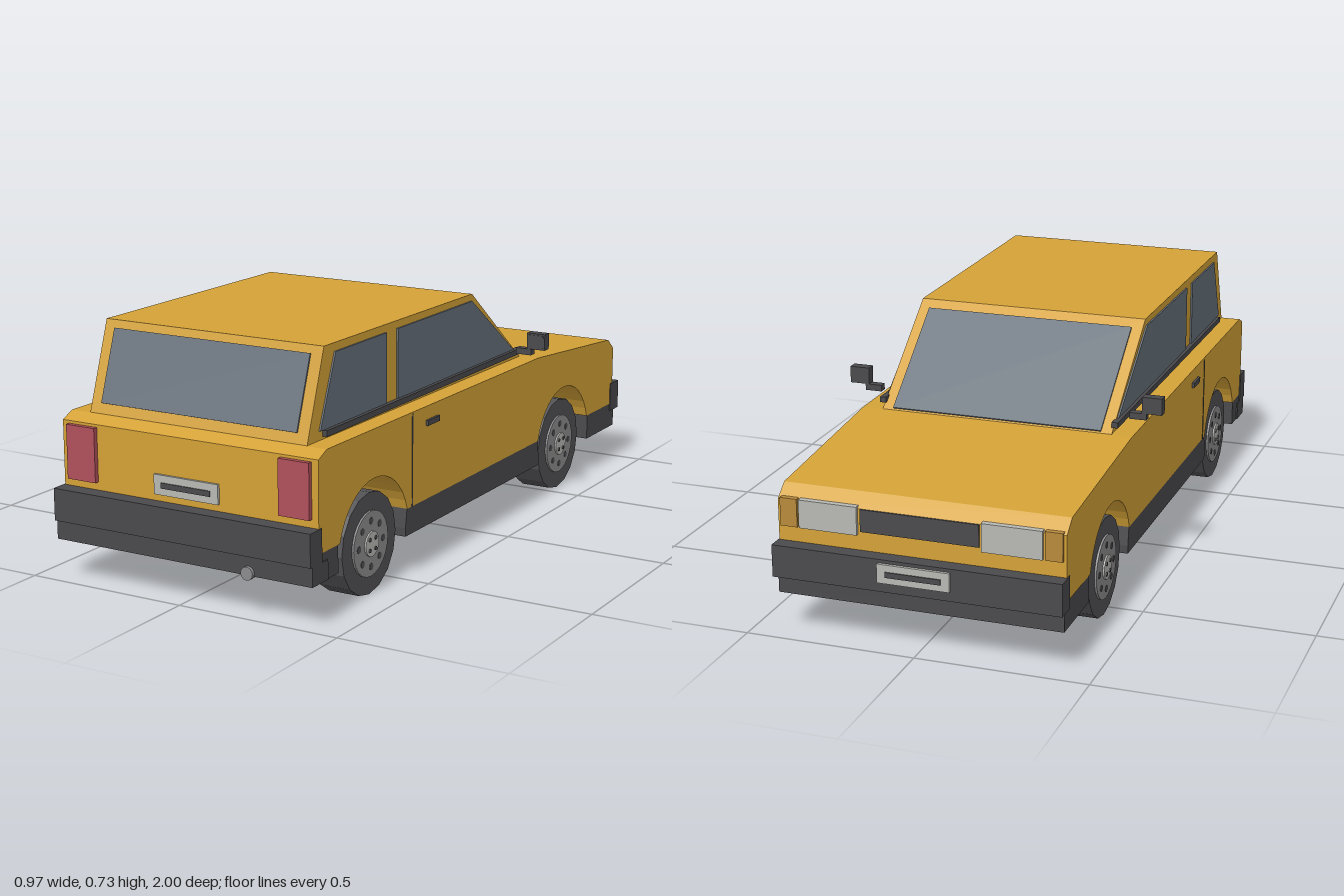
import * as THREE from 'three';

const mat = (color) => new THREE.MeshStandardMaterial({ color, flatShading: true, side: THREE.DoubleSide });
const paint = mat(0xd4a237), dark = mat(0x4a4a4d), glass = mat(0x66707a), rubber = mat(0x525255);
const rimGrey = mat(0x8c8c8e), light = mat(0xb8b8b4), red = mat(0xb0505a), amber = mat(0xb98a3c);

const WHEELS = [0.66, -0.555], AXLE_Y = 0.145, ARCH_R = 0.192, SILL_TOP = 0.2;

export function createModel() {
  const car = new THREE.Group();
  car.name = 'hatchbackCar';

  const add = (name, geometry, material, parent = car) => {
    const mesh = new THREE.Mesh(geometry, material);
    mesh.name = name;
    parent.add(mesh);
    return mesh;
  };
  // Box given by its limits on each axis
  const box = (name, [x0, x1], [y0, y1], [z0, z1], material, parent) => {
    const g = new THREE.BoxGeometry(x1 - x0, y1 - y0, z1 - z0);
    g.translate((x0 + x1) / 2, (y0 + y1) / 2, (z0 + z1) / 2);
    return add(name, g, material, parent);
  };
  // Side profile of [z, y] points extruded across x0..x1
  const profile = (name, points, x0, x1, material) => {
    const shape = new THREE.Shape(points.map(([z, y]) => new THREE.Vector2(z, y)));
    const g = new THREE.ExtrudeGeometry(shape, { depth: x1 - x0, bevelEnabled: false });
    g.rotateY(-Math.PI / 2).translate(x1, 0, 0);
    return add(name, g, material);
  };
  // Thin pane on a slope between two [z, y] points, lifted outward by t
  const pane = (name, a, b, halfWidth, t, material) => {
    const len = Math.hypot(b[0] - a[0], b[1] - a[1]);
    const n = [(b[1] - a[1]) / len * t, -(b[0] - a[0]) / len * t];
    const lift = (p) => [p[0] + n[0], p[1] + n[1]];
    profile(name, [a, lift(a), lift(b), b], -halfWidth, halfWidth, material);
  };

  // Lower body with wheel arches cut right through
  const arch = (zc) => {
    const a0 = Math.asin((SILL_TOP - AXLE_Y) / ARCH_R), n = 16;
    return Array.from({ length: n + 1 }, (_, i) => {
      const a = a0 + (Math.PI - 2 * a0) * i / n;
      return [zc + ARCH_R * Math.cos(a), AXLE_Y + ARCH_R * Math.sin(a)];
    });
  };
  profile('lowerBody', [
    [0.952, SILL_TOP], ...arch(WHEELS[0]), ...arch(WHEELS[1]), [-0.943, SILL_TOP],
    [-0.943, 0.39], [-0.9, 0.425], [-0.36, 0.47], [0.91, 0.477], [0.952, 0.458],
  ], -0.417, 0.417, paint);

  // Dark sills and floor between the arches
  const half = Math.sqrt(ARCH_R ** 2 - (SILL_TOP - AXLE_Y) ** 2);
  const sill = (name, rear, front) => profile(name, [
    [rear + 0.008, 0.12], [rear + 0.008, AXLE_Y], [rear, SILL_TOP],
    [front, SILL_TOP], [front - 0.008, AXLE_Y], [front - 0.008, 0.12],
  ], -0.416, 0.416, dark);
  sill('middleFloor', WHEELS[0] - half, WHEELS[1] + half);
  box('frontValance', [-0.416, 0.416], [0.12, SILL_TOP], [-0.96, WHEELS[1] - ARCH_R], dark);
  box('rearValance', [-0.416, 0.416], [0.12, SILL_TOP], [WHEELS[0] + ARCH_R, 0.955], dark);

  // Bumpers
  box('frontBumper', [-0.42, 0.42], [0.176, 0.27], [-0.988, -0.925], dark);
  box('rearBumper', [-0.42, 0.42], [0.176, 0.27], [0.94, 1.0], dark);
  box('rearBumperLower', [-0.42, 0.42], [0.12, 0.176], [0.91, 0.99], dark);

  // Cabin
  profile('cabin', [[0.908, 0.475], [0.82, 0.728], [-0.025, 0.724], [-0.36, 0.465]], -0.355, 0.355, paint);
  pane('windscreen', [-0.35, 0.474], [-0.055, 0.702], 0.322, -0.005, glass);
  pane('rearWindow', [0.898, 0.505], [0.828, 0.706], 0.32, 0.005, glass);

  // Parts on both sides
  for (const s of [1, -1]) {
    const side = s > 0 ? 'left' : 'right';
    const span = (a, b) => (s > 0 ? [a, b] : [-b, -a]);
    profile(side + 'RearSideWindow', [[0.848, 0.503], [0.768, 0.704], [0.493, 0.704], [0.493, 0.503]],
      ...span(0.35, 0.36), glass);
    profile(side + 'FrontSideWindow', [[0.43, 0.503], [0.43, 0.704], [-0.018, 0.704], [-0.3, 0.503]],
      ...span(0.35, 0.36), glass);
    box(side + 'WindowTrim', span(0.35, 0.369), [0.485, 0.502], [-0.34, 0.83], dark);
    box(side + 'DoorSeam', span(0.41, 0.4185), [SILL_TOP, 0.47], [0.446, 0.45], dark);
    box(side + 'DoorHandle', span(0.41, 0.425), [0.418, 0.434], [0.3, 0.37], dark);

    // Door mirror
    box(side + 'MirrorArm', span(0.387, 0.438), [0.5, 0.519], [-0.287, -0.262], dark);
    const mirror = box(side + 'MirrorHousing', [-0.03, 0.03], [-0.025, 0.025], [-0.015, 0.015], dark);
    mirror.position.set(s * 0.455, 0.545, -0.275);
    box(side + 'MirrorGlass', [-0.025, 0.025], [-0.02, 0.02], [0.014, 0.017], dark, mirror);

    // Lamps
    box(side + 'TailLamp', span(0.3, 0.396), [0.293, 0.45], [0.94, 0.966], red);
    box(side + 'HeadLamp', span(0.18, 0.352), [0.315, 0.397], [-0.953, -0.93], light);
    box(side + 'TurnSignal', span(0.358, 0.408), [0.315, 0.397], [-0.951, -0.93], amber);
  }
  box('grille', [-0.172, 0.172], [0.325, 0.39], [-0.948, -0.93], dark);

  // Blank plates, each with a dark centre bar
  box('rearPlate', [-0.105, 0.105], [0.29, 0.347], [0.945, 0.96], light);
  box('rearPlateBar', [-0.08, 0.08], [0.31, 0.326], [0.955, 0.963], dark);
  box('frontPlate', [-0.105, 0.105], [0.205, 0.26], [-0.997, -0.98], light);
  box('frontPlateBar', [-0.08, 0.08], [0.224, 0.24], [-1.0, -0.99], dark);

  // Exhaust pipe
  const pipe = new THREE.CylinderGeometry(0.019, 0.019, 0.1, 16);
  add('exhaustPipe', pipe.rotateX(Math.PI / 2).translate(0.22, 0.128, 0.95), rimGrey);

  // Wheels: discs lie along x, outer face toward +x before mirroring
  const disc = (name, r, x0, x1, sides, material, parent, y = 0, z = 0) => {
    const g = new THREE.CylinderGeometry(r, r, x1 - x0, sides);
    g.rotateZ(-Math.PI / 2).translate((x0 + x1) / 2, y, z);
    add(name, g, material, parent);
  };
  for (const z of WHEELS) for (const s of [1, -1]) {
    const wheel = new THREE.Group();
    wheel.name = (z > 0 ? 'rear' : 'front') + (s > 0 ? 'Left' : 'Right') + 'Wheel';
    wheel.position.set(0, 0.147, z);
    wheel.rotation.y = s > 0 ? 0 : Math.PI;
    car.add(wheel);
    disc('tyre', 0.147, 0.305, 0.4, 16, rubber, wheel);
    disc('rim', 0.094, 0.39, 0.406, 24, rimGrey, wheel);
    disc('hub', 0.036, 0.4, 0.411, 16, light, wheel);
    for (let i = 0; i < 8; i++) {
      const a = i * Math.PI / 4;
      disc('rimHole', 0.01, 0.4, 0.4075, 10, rubber, wheel, 0.066 * Math.sin(a), 0.066 * Math.cos(a));
    }
    for (let i = 0; i < 4; i++) {
      const a = (i + 0.5) * Math.PI / 2;
      disc('wheelNut', 0.006, 0.41, 0.414, 6, rubber, wheel, 0.022 * Math.sin(a), 0.022 * Math.cos(a));
    }
  }
  return car;
}
